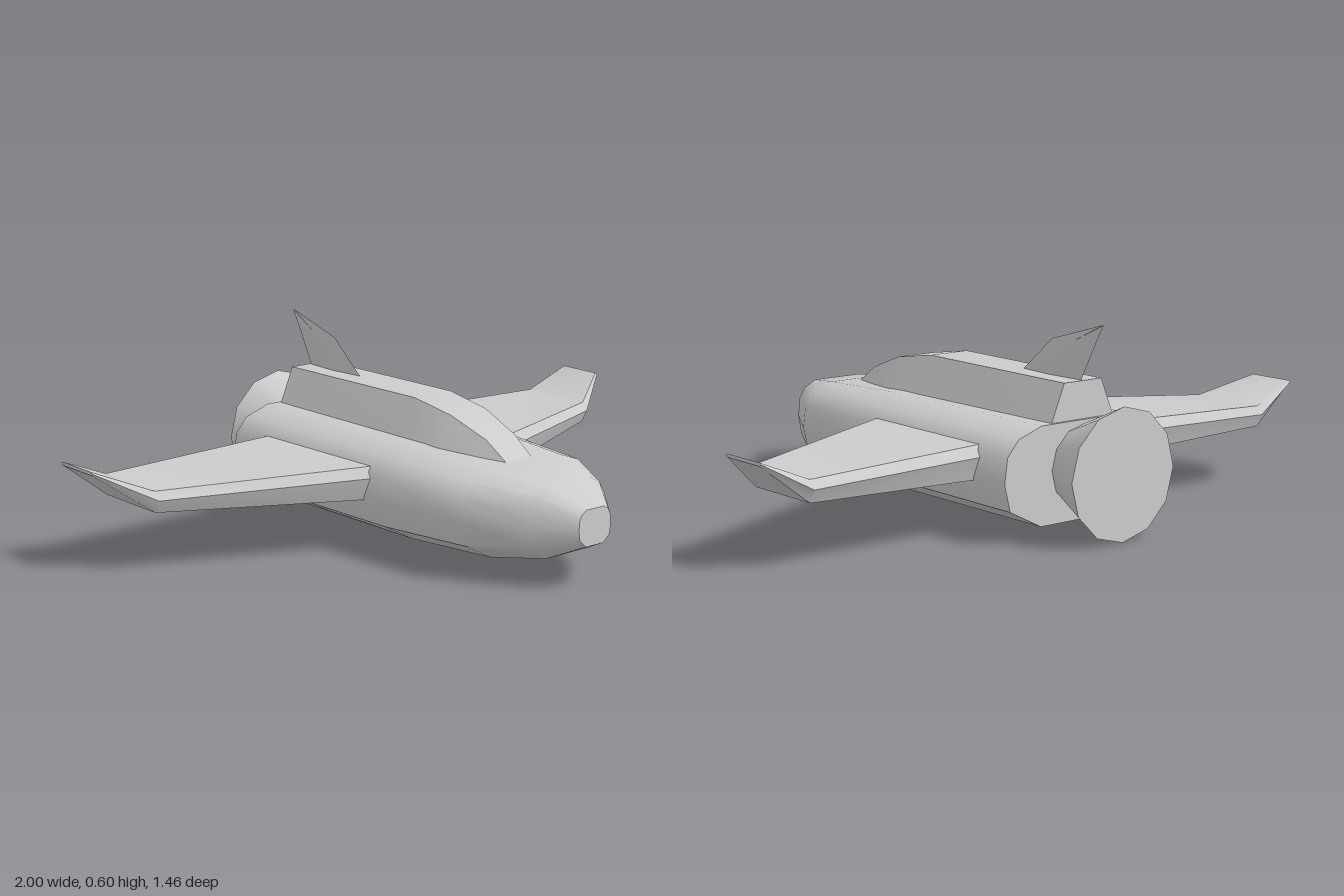
import * as THREE from 'three';
import { toCreasedNormals } from 'three/addons/utils/BufferGeometryUtils.js';

const material = new THREE.MeshStandardMaterial({ color: 0xcccccc });

// Closed skin through equal-length rings of [x, y, z], capped at both ends
function loft(rings, crease) {
  const n = rings[0].length;
  const tris = [];
  for (let r = 0; r < rings.length - 1; r++) {
    for (let i = 0; i < n; i++) {
      const j = (i + 1) % n;
      const a = rings[r][i], b = rings[r][j], c = rings[r + 1][j], d = rings[r + 1][i];
      tris.push([a, b, c], [a, c, d]);
    }
  }
  const first = rings[0], last = rings[rings.length - 1];
  for (let i = 1; i < n - 1; i++) {
    tris.push([first[0], first[i + 1], first[i]], [last[0], last[i], last[i + 1]]);
  }
  // Signed volume tells whether the winding faces outward
  let volume = 0;
  for (const [a, b, c] of tris) {
    volume += new THREE.Vector3(...a).dot(new THREE.Vector3(...b).cross(new THREE.Vector3(...c)));
  }
  if (volume < 0) tris.forEach((t) => t.reverse());
  const geometry = new THREE.BufferGeometry();
  geometry.setAttribute('position', new THREE.Float32BufferAttribute(tris.flat(2), 3));
  return toCreasedNormals(geometry, crease);
}

// Ring at depth z from the right half of a section, mirrored across x = 0
function mirroredRing(half, z) {
  return [
    ...half.map(([x, y]) => [x, y, z]),
    ...half.slice().reverse().map(([x, y]) => [-x, y, z]),
  ];
}

function part(name, geometry) {
  const mesh = new THREE.Mesh(geometry, material);
  mesh.name = name;
  return mesh;
}

export function createModel() {
  const model = new THREE.Group();
  model.name = 'spaceplane';

  // Fuselage: [z, half width, bottom, top]; section as fractions of these
  const section = [[0.55, 1], [0.83, 0.9], [0.965, 0.74], [1, 0.48], [0.93, 0.2], [0.55, 0]];
  const stations = [
    [0.73, 0.062, 0.13, 0.237],
    [0.62, 0.15, 0.08, 0.29],
    [0.45, 0.25, 0.056, 0.312],
    [0.13, 0.278, 0.04, 0.326],
    [-0.57, 0.295, 0.04, 0.326],
  ];
  model.add(part('fuselage', loft(stations.map(([z, w, bottom, top]) =>
    mirroredRing(section.map(([u, v]) => [u * w, bottom + v * (top - bottom)]), z)), 0.7)));

  // Raised spine: [z, top half width, base half width, top height]
  const spine = [
    [0.42, 0.05, 0.055, 0.312],
    [0.34, 0.055, 0.085, 0.365],
    [0.2, 0.068, 0.125, 0.415],
    [0.04, 0.07, 0.127, 0.44],
    [-0.56, 0.07, 0.127, 0.435],
  ];
  model.add(part('canopySpine', loft(spine.map(([z, top, base, y]) =>
    mirroredRing([[top, y], [base, 0.3]], z)), 0.5)));

  // Wings: [x, leading z, trailing z, bottom, top, edge height, edge bevel]
  const wing = [
    [0.24, 0.09, -0.45, 0.165, 0.267, 0.235, 0.022],
    [0.85, -0.16, -0.455, 0.183, 0.247, 0.222, 0.02],
    [1.0, -0.265, -0.432, 0.3, 0.31, 0.305, 0.008],
  ];
  for (const [name, side] of [['leftWing', 1], ['rightWing', -1]]) {
    model.add(part(name, loft(wing.map(([x, front, back, bottom, top, edge, bevel]) => [
      [front, edge], [front - bevel, top], [back + bevel, top],
      [back, edge], [back + bevel, bottom], [front - bevel, bottom],
    ].map(([z, y]) => [side * x, y, z])), 0.6)));
  }

  // Tail fin: [y, leading z, trailing z, half thickness]
  const fin = [
    [0.42, -0.285, -0.545, 0.009],
    [0.54, -0.43, -0.608, 0.007],
    [0.6, -0.638, -0.642, 0.002],
  ];
  model.add(part('tailFin', loft(fin.map(([y, front, back, t]) => {
    const mid = (front + back) / 2;
    return [[0, y, front], [t, y, mid], [0, y, back], [-t, y, mid]];
  }), 0.5)));

  // Engine bell, widening toward the rear, with a flat end
  const bell = new THREE.CylinderGeometry(0.12, 0.1925, 0.165, 12);
  bell.rotateX(Math.PI / 2);
  bell.translate(0, 0.1925, -0.6475);
  model.add(part('engineNozzle', bell));

  return model;
}
